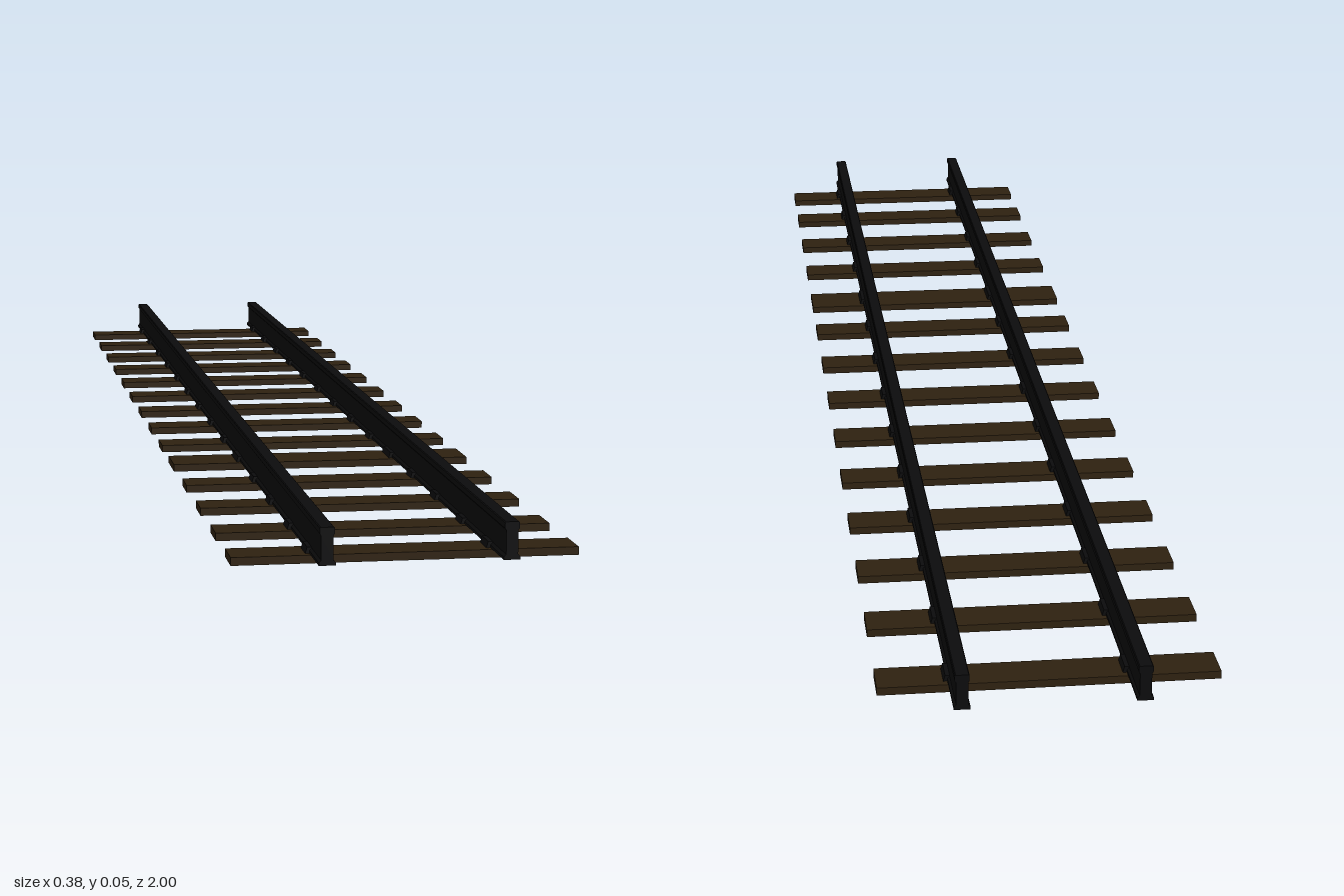
import * as THREE from 'three';

const wood = new THREE.MeshStandardMaterial({ name: 'darkWood', color: 0x2e2110 });
const iron = new THREE.MeshStandardMaterial({ name: 'blackIron', color: 0x0b0b0c });

const RAIL_X = [-0.095, 0.103];
const TIE_TOP = 0.009;

// Extrudes a mirrored half profile (x, y pairs) along z, centred on z = 0.
function extrudeProfile(half, length) {
  const pts = half.map(([x, y]) => new THREE.Vector2(x, y));
  const mirror = half.map(([x, y]) => new THREE.Vector2(-x, y)).reverse();
  const geo = new THREE.ExtrudeGeometry(new THREE.Shape([...pts, ...mirror]), {
    depth: length, bevelEnabled: false,
  });
  geo.translate(0, 0, -length / 2);
  return geo;
}

function addMesh(parent, name, geo, material, x, y, z) {
  const mesh = new THREE.Mesh(geo, material);
  mesh.name = name;
  mesh.position.set(x, y, z);
  parent.add(mesh);
}

export function createModel() {
  const track = new THREE.Group();
  track.name = 'railwayTrack';

  // Rails: narrow foot, web and slightly wider head
  const railGeo = extrudeProfile([
    [0.009, TIE_TOP], [0.009, 0.012], [0.0065, 0.015],
    [0.0065, 0.041], [0.008, 0.043], [0.008, 0.049], [0.007, 0.05],
  ], 2);
  RAIL_X.forEach((x, i) => addMesh(track, i ? 'leftRail' : 'rightRail', railGeo, iron, x, 0, 0));

  // Evenly spaced ties, plus a doubled tie and a last one set closer in
  const tieZ = [];
  for (let i = 0; i < 13; i++) tieZ.push(-0.918 + i * 0.1428);
  tieZ.push(0.35, 0.923);

  const tieGeo = new THREE.BoxGeometry(0.38, TIE_TOP, 0.047);
  // Sloped chairs holding the rails on each tie
  const chairGeo = extrudeProfile([[0.0135, 0], [0.0115, 0.007], [0.009, 0.007]], 0.03);
  tieZ.forEach((z) => {
    const tie = new THREE.Group();
    tie.name = 'tie';
    tie.position.z = z;
    addMesh(tie, 'tiePlank', tieGeo, wood, 0, TIE_TOP / 2, 0);
    RAIL_X.forEach((x) => addMesh(tie, 'railChair', chairGeo, iron, x, TIE_TOP, 0));
    track.add(tie);
  });

  return track;
}
